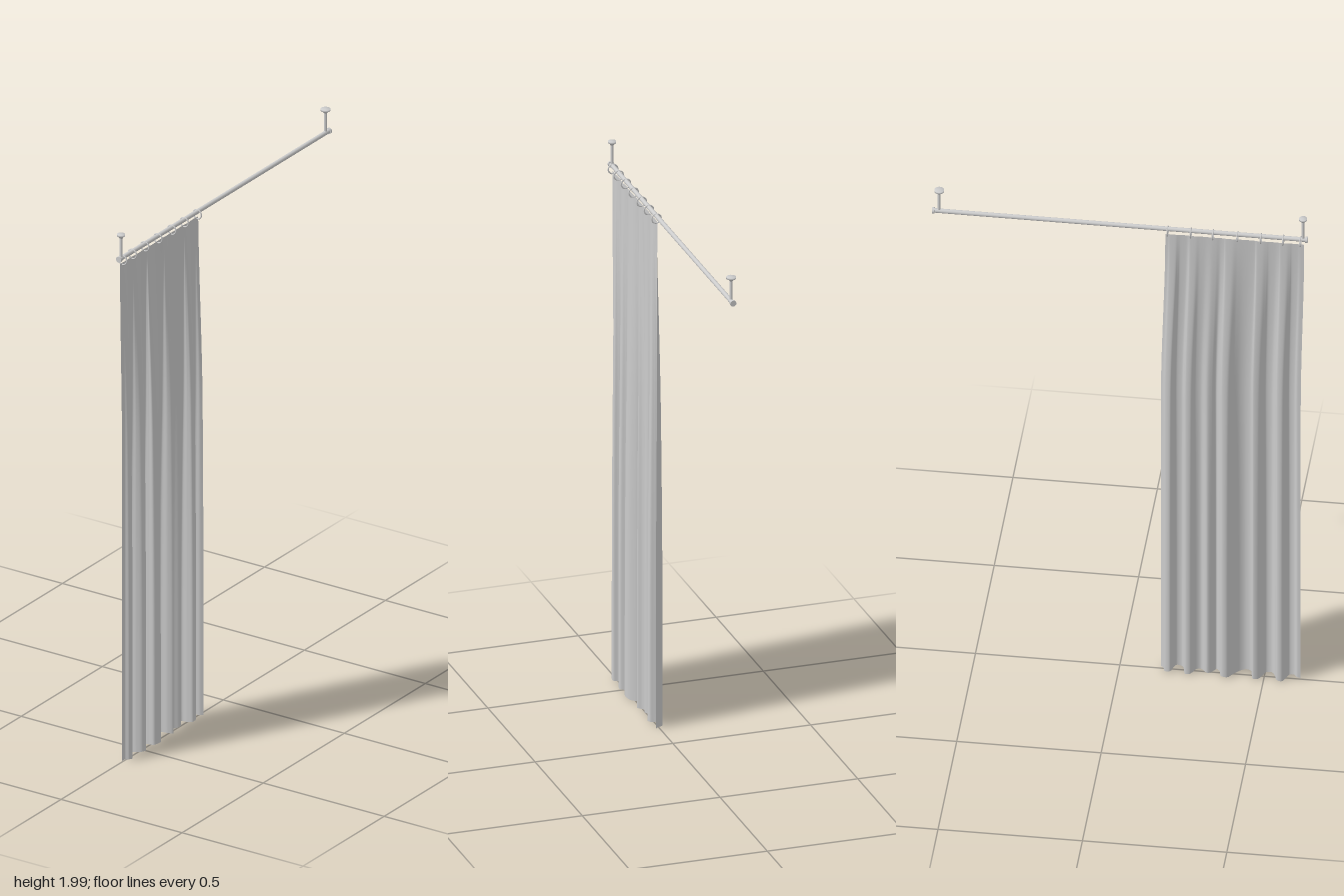
import * as THREE from 'three';

const ROD_X = 0.003, ROD_Y = 1.909;

export function createModel() {
  const model = new THREE.Group();
  const metal = new THREE.MeshStandardMaterial({ color: 0xcccccc });
  const cloth = new THREE.MeshStandardMaterial({ color: 0xcccccc, side: THREE.DoubleSide });

  const add = (name, geometry, x, y, z, material = metal, parent = model) => {
    const mesh = new THREE.Mesh(geometry, material);
    mesh.name = name;
    mesh.position.set(x, y, z);
    parent.add(mesh);
    return mesh;
  };

  // Rod with a slightly wider cap on each end
  add('rod', new THREE.CylinderGeometry(0.008, 0.008, 1.29, 24).rotateX(Math.PI / 2), ROD_X, ROD_Y, 0);
  for (const s of [1, -1]) {
    add('rodCap', new THREE.CylinderGeometry(0.011, 0.011, 0.008, 24).rotateX(Math.PI / 2), ROD_X, ROD_Y, s * 0.646);
  }

  // Ceiling brackets: thin stem flaring into a round plate
  for (const [z, r] of [[0.634, 0.014], [-0.626, 0.017]]) {
    const bracket = new THREE.Group();
    bracket.name = 'ceilingBracket';
    model.add(bracket);
    add('stem', new THREE.CylinderGeometry(0.005, 0.005, 0.085, 16), ROD_X, 1.9505, z, metal, bracket);
    const profile = [[0, 1.985], [0.006, 1.985], [r * 0.6, 1.99], [r, 1.993], [r, 2], [0, 2]]
      .map(([x, y]) => new THREE.Vector2(x, y));
    add('ceilingPlate', new THREE.LatheGeometry(profile, 24), ROD_X, 0, z, metal, bracket);
  }

  // Rings hanging from the rod
  for (const z of [0.625, 0.565, 0.488, 0.407, 0.322, 0.245, 0.165]) {
    add('ring', new THREE.TorusGeometry(0.017, 0.0025, 8, 28), ROD_X, 1.899, z);
  }

  // Curtain: one fold outline, flat under the rings and deepening downwards
  const folds = [
    [0.012, 0.141], [0.002, 0.15], [-0.017, 0.158], [-0.02, 0.176], [0.002, 0.186], [0.017, 0.194],
    [0.017, 0.214], [0.0, 0.222], [-0.022, 0.228], [-0.022, 0.246], [0.0, 0.262], [0.006, 0.28],
    [-0.008, 0.302], [0.0, 0.318], [0.015, 0.332], [0.0, 0.345], [-0.027, 0.354], [-0.028, 0.374],
    [0.0, 0.394], [0.018, 0.414], [0.023, 0.434], [0.016, 0.453], [-0.005, 0.457], [-0.022, 0.462],
    [-0.018, 0.48], [0.002, 0.494], [0.018, 0.504], [0.017, 0.524], [0.0, 0.537], [-0.02, 0.545],
    [-0.021, 0.563], [0.0, 0.576], [0.016, 0.584], [0.014, 0.602], [0.002, 0.612], [0.0, 0.626],
  ];
  const outline = new THREE.CatmullRomCurve3(folds.map(([x, z]) => new THREE.Vector3(x, 0, z)));
  const COLS = 280, ROWS = 48;
  const curtain = new THREE.PlaneGeometry(1, 1, COLS, ROWS);
  const pos = curtain.attributes.position;
  const line = outline.getPoints(COLS);
  for (let i = 0; i < pos.count; i++) {
    const p = line[i % (COLS + 1)];
    const t = Math.floor(i / (COLS + 1)) / ROWS;
    const depth = Math.min(1, 0.04 + 0.96 * Math.pow(Math.sin(Math.min(1, t / 0.85) * Math.PI / 2), 0.9));
    const spread = 1 - THREE.MathUtils.smoothstep(t, 0, 0.38);
    // The top edge sits a little towards the front end and is slightly narrower
    const u = (p.z - 0.141) / 0.485;
    const z = p.z + spread * THREE.MathUtils.lerp(0.016, 0.012, u);
    const hem = 0.01 + 0.003 * Math.sin(p.z * 75);
    pos.setXYZ(i, p.x * depth + 0.001, THREE.MathUtils.lerp(1.888, hem, t), z);
  }
  curtain.computeVertexNormals();
  add('curtain', curtain, 0, 0, 0, cloth);

  return model;
}
